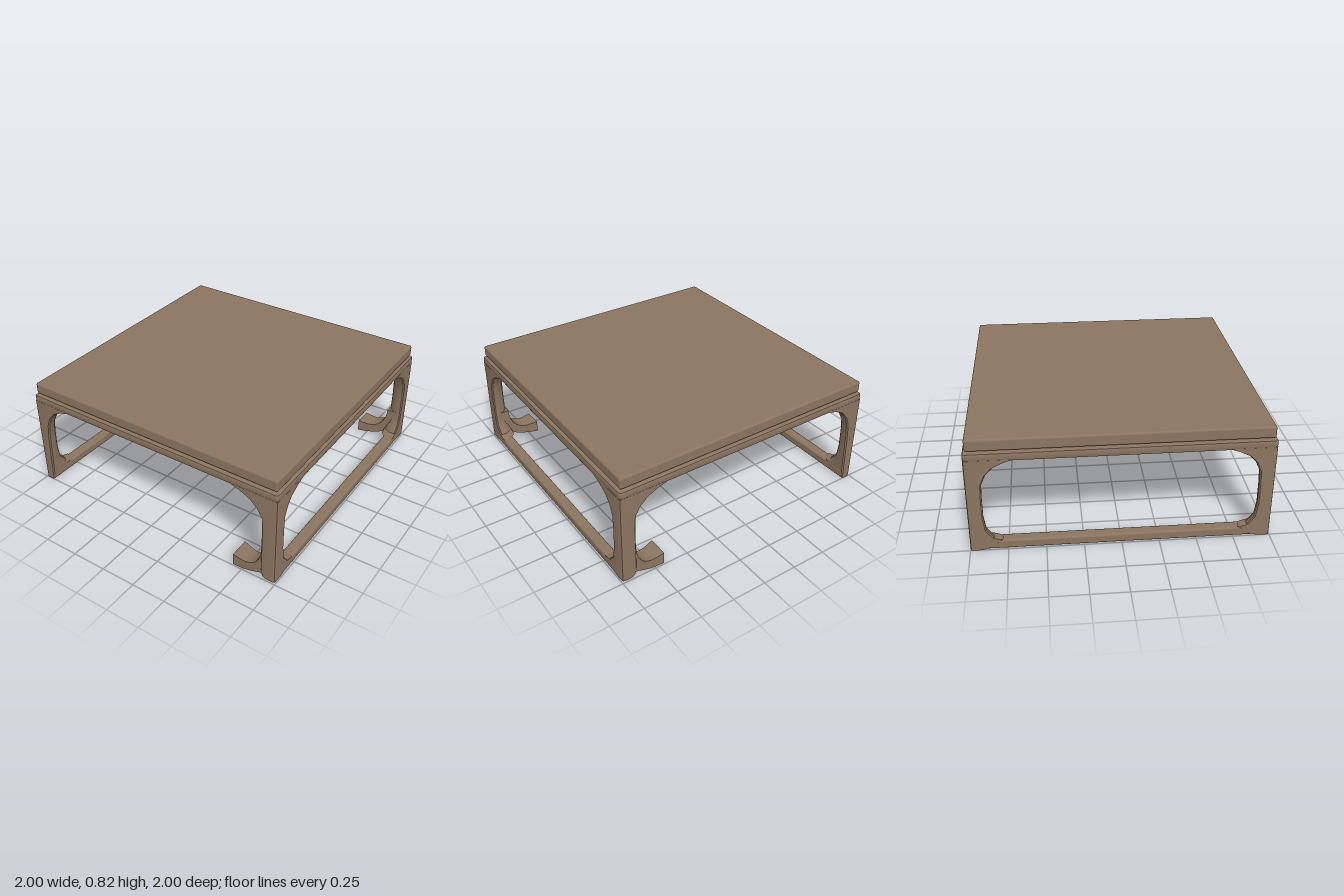
import * as THREE from 'three';
import { toCreasedNormals } from 'three/addons/utils/BufferGeometryUtils.js';
import { RoundedBoxGeometry } from 'three/addons/geometries/RoundedBoxGeometry.js';

const wood = new THREE.MeshStandardMaterial({ color: 0x8b7460 });
wood.name = 'warm brown wood';

// Leg thickness by height: [y, inward in x, inward in z]
const straightLeg = [
  [0, 0.065, 0.09], [0.02, 0.075, 0.15], [0.075, 0.077, 0.22], [0.09, 0.078, 0.16], [0.15, 0.08, 0.115],
  [0.25, 0.084, 0.1], [0.4, 0.09, 0.1], [0.5, 0.102, 0.104], [0.57, 0.13, 0.135],
  [0.62, 0.175, 0.18], [0.655, 0.24, 0.25], [0.68, 0.33, 0.32],
];
const hookedLeg = [
  [0.015, 0.08, 0.09], [0.03, 0.1, 0.15], [0.075, 0.11, 0.22], [0.09, 0.11, 0.16], [0.15, 0.11, 0.115],
  [0.25, 0.108, 0.1], [0.4, 0.108, 0.1], [0.5, 0.112, 0.104], [0.57, 0.15, 0.135],
  [0.62, 0.205, 0.18], [0.655, 0.28, 0.25], [0.68, 0.36, 0.32],
];

function part(name, geometry, parent) {
  const mesh = new THREE.Mesh(geometry, wood);
  mesh.name = name;
  parent.add(mesh);
  return mesh;
}

// Leg cross-section: small outer corner rounding, large inner one
function section(wx, wz) {
  const r = 0.75 * Math.min(wx, wz), c = 0.015, e = 0.008;
  const pts = [[c, 0], [wx - e, 0], [wx, e]];
  for (let i = 0; i <= 6; i++) {
    const a = (i / 6) * Math.PI / 2;
    pts.push([wx - r + r * Math.cos(a), wz - r + r * Math.sin(a)]);
  }
  pts.push([e, wz], [0, wz - e], [0, c], [c * 0.3, c * 0.3]);
  return pts;
}

function legGeometry(profile, sx, sz) {
  const pos = [], idx = [];
  let n = 0;
  for (const [y, wx, wz] of profile) {
    const pts = section(wx, wz);
    if (sx * sz < 0) pts.reverse();
    n = pts.length;
    for (const [u, v] of pts) pos.push(sx * (1 - u), y, sz * (1 - v));
  }
  for (let k = 0; k < profile.length - 1; k++) {
    for (let i = 0; i < n; i++) {
      const a = k * n + i, b = k * n + (i + 1) % n;
      idx.push(a, a + n, b + n, a, b + n, b);
    }
  }
  const top = (profile.length - 1) * n;
  for (let i = 1; i < n - 1; i++) {
    idx.push(0, i, i + 1, top, top + i + 1, top + i);
  }
  const g = new THREE.BufferGeometry();
  g.setAttribute('position', new THREE.Float32BufferAttribute(pos, 3));
  g.setIndex(idx);
  return toCreasedNormals(g, 0.6);
}

function roundedSquare(path, h, r) {
  const k = h - r;
  path.moveTo(h, -k);
  path.lineTo(h, k);
  path.absarc(k, k, r, 0, Math.PI / 2);
  path.absarc(-k, k, r, Math.PI / 2, Math.PI);
  path.absarc(-k, -k, r, Math.PI, Math.PI * 1.5);
  path.absarc(k, -k, r, Math.PI * 1.5, Math.PI * 2);
  return path;
}

// Curled foot, slightly wider towards its tip
function footGeometry(sz) {
  const s = new THREE.Shape();
  s.moveTo(0.68, 0.005);
  s.lineTo(0.75, 0.008);
  s.quadraticCurveTo(0.83, 0.02, 0.885, 0.045);
  s.lineTo(0.93, 0.025);
  s.lineTo(0.985, 0.025);
  s.lineTo(0.985, 0.25);
  s.lineTo(0.892, 0.25);
  s.bezierCurveTo(0.89, 0.15, 0.85, 0.075, 0.75, 0.08);
  s.lineTo(0.68, 0.092);
  const g = new THREE.ExtrudeGeometry(s, { depth: 1, bevelEnabled: false, curveSegments: 10 });
  const p = g.attributes.position;
  for (let i = 0; i < p.count; i++) {
    const t = THREE.MathUtils.clamp((0.9 - p.getX(i)) / 0.22, 0, 1);
    const inner = 0.9 - 0.05 * t, z = p.getZ(i);
    // the near end is the outer face on the front, the inner face on the back
    p.setZ(i, sz > 0 ? inner + (0.995 - inner) * z : -0.995 + (0.995 - inner) * z);
  }
  return toCreasedNormals(g, 0.6);
}

export function createModel() {
  const table = new THREE.Group();
  table.name = 'lowTable';

  // Floating table top
  part('tableTop', new RoundedBoxGeometry(1.97, 0.084, 1.97, 3, 0.015), table).position.y = 0.779;

  // Apron ring with a rounded square opening
  const ring = roundedSquare(new THREE.Shape(), 0.988, 0.012);
  ring.holes.push(roundedSquare(new THREE.Path(), 0.79, 0.25));
  const apron = new THREE.ExtrudeGeometry(ring, {
    depth: 0.034, bevelThickness: 0.012, bevelSize: 0.012, bevelSegments: 2, curveSegments: 10,
  });
  apron.rotateX(-Math.PI / 2);
  part('apron', toCreasedNormals(apron, 0.6), table).position.y = 0.682;

  // Floor rails, legs and curled feet
  for (const sx of [-1, 1]) {
    const rail = part('floorRail', new RoundedBoxGeometry(0.077, 0.066, 1.99, 3, 0.015), table);
    rail.position.set(sx * 0.9605, sx < 0 ? 0.036 : 0.043, 0);
    for (const sz of [-1, 1]) {
      part(sx < 0 ? 'straightLeg' : 'hookedLeg', legGeometry(sx < 0 ? straightLeg : hookedLeg, sx, sz), table);
      if (sx > 0) part('curledFoot', footGeometry(sz), table);
    }
  }
  return table;
}
